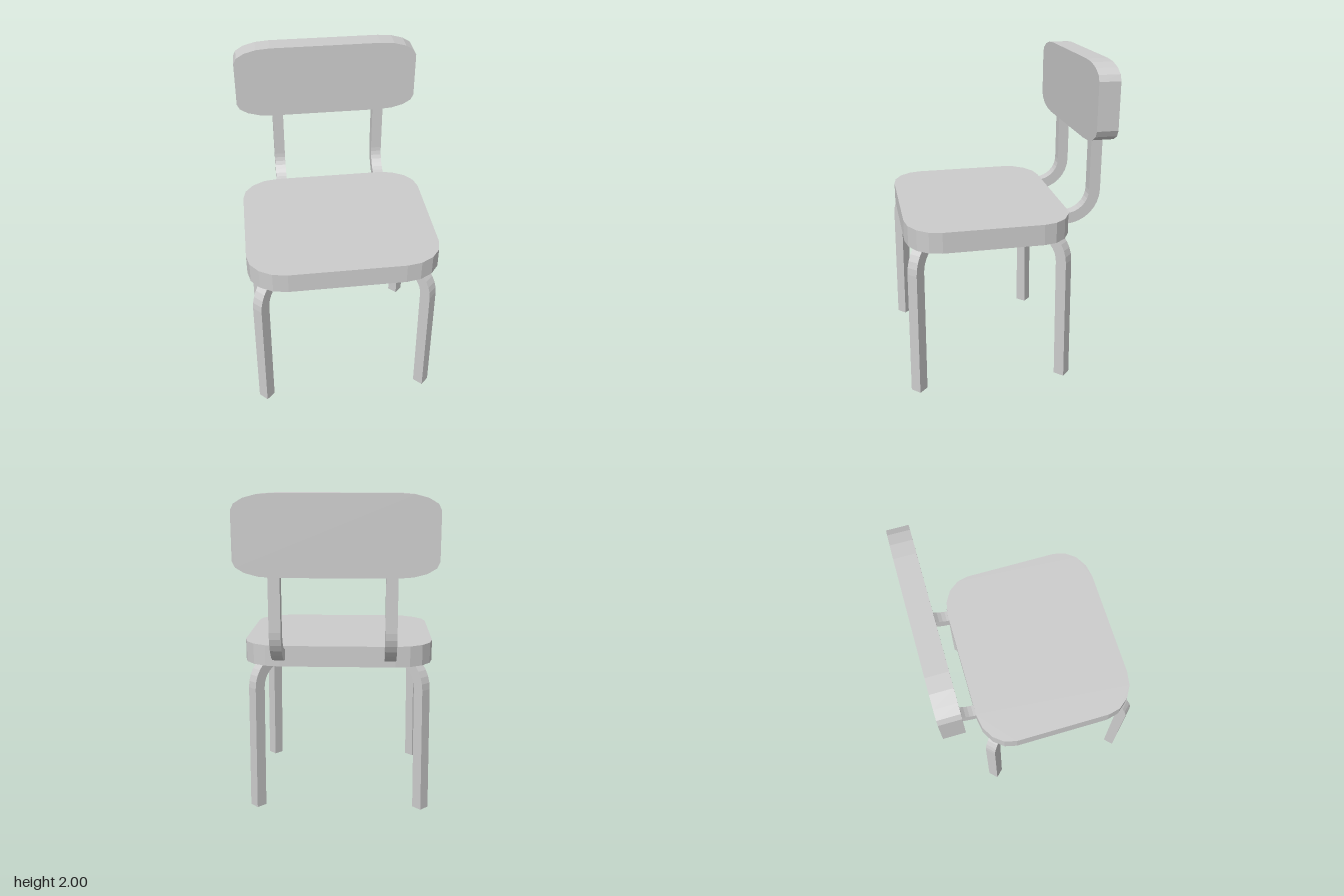
import * as THREE from 'three';

const material = new THREE.MeshStandardMaterial({ color: 0xcccccc, flatShading: true });
const BAR = 0.07; // square section of legs and back supports

function addMesh(parent, name, geometry, x, y, z) {
  const mesh = new THREE.Mesh(geometry, material);
  mesh.name = name;
  mesh.position.set(x, y, z);
  parent.add(mesh);
}

// Flat slab with elliptical corners, one fifth of each side, centred on the origin
function panel(width, height, depth) {
  const a = width / 2, b = height / 2, rx = width / 5, ry = height / 5;
  const shape = new THREE.Shape();
  const corners = [[1, 1], [-1, 1], [-1, -1], [1, -1]];
  corners.forEach(([sx, sy], i) => {
    const start = i * Math.PI / 2;
    shape.absellipse(sx * (a - rx), sy * (b - ry), rx, ry, start, start + Math.PI / 2, false, 0);
  });
  return new THREE.ExtrudeGeometry(shape, { depth, bevelEnabled: false, curveSegments: 2 })
    .translate(0, 0, -depth / 2);
}

// Square bar rising from the origin, then bending a quarter turn towards +x
function bentBar(straight, splay, rise, tip) {
  const inner = 0.142, outer = inner + BAR;
  const cx = splay - BAR / 2 + outer;
  const shape = new THREE.Shape();
  shape.moveTo(BAR / 2, 0);
  shape.lineTo(splay + BAR / 2, straight);
  shape.absarc(cx, straight, inner, Math.PI, Math.PI / 2, true);
  shape.lineTo(tip, straight + inner + rise);
  shape.lineTo(tip, straight + outer + rise);
  shape.absarc(cx, straight, outer, Math.PI / 2, Math.PI, false);
  shape.lineTo(-BAR / 2, 0);
  return new THREE.ExtrudeGeometry(shape, { depth: BAR, bevelEnabled: false, curveSegments: 4 })
    .translate(0, 0, -BAR / 2);
}

export function createModel() {
  const model = new THREE.Group();
  model.name = 'chair';

  // The chair is turned on its vertical axis
  const chair = new THREE.Group();
  chair.name = 'turnedChair';
  chair.rotation.y = 0.635;
  model.add(chair);

  // Seat and backrest
  addMesh(chair, 'seat', panel(1.188, 1.014, 0.13).rotateX(Math.PI / 2), 0.008, 1.01, 0.132);
  addMesh(chair, 'backrest', panel(1.18, 0.475, 0.13), 0.008, 1.7625, -0.53);

  // Legs bend diagonally inward under the seat
  for (const sx of [1, -1]) {
    for (const sz of [1, -1]) {
      const leg = bentBar(0.793, 0.01, 0.02, 0.45).rotateY(Math.atan2(sz, -sx));
      const name = (sz > 0 ? 'front' : 'back') + (sx > 0 ? 'Left' : 'Right') + 'Leg';
      addMesh(chair, name, leg, sx * 0.525, 0, 0.136 + sz * 0.462);
    }
  }

  // Back supports drop from the backrest and bend forward into the seat
  for (const [name, x] of [['leftBackSupport', 0.365], ['rightBackSupport', -0.315]]) {
    const support = bentBar(0.7, 0, 0, 0.45).rotateX(Math.PI).rotateY(-Math.PI / 2);
    addMesh(chair, name, support, x, 1.9, -0.54);
  }

  return model;
}
